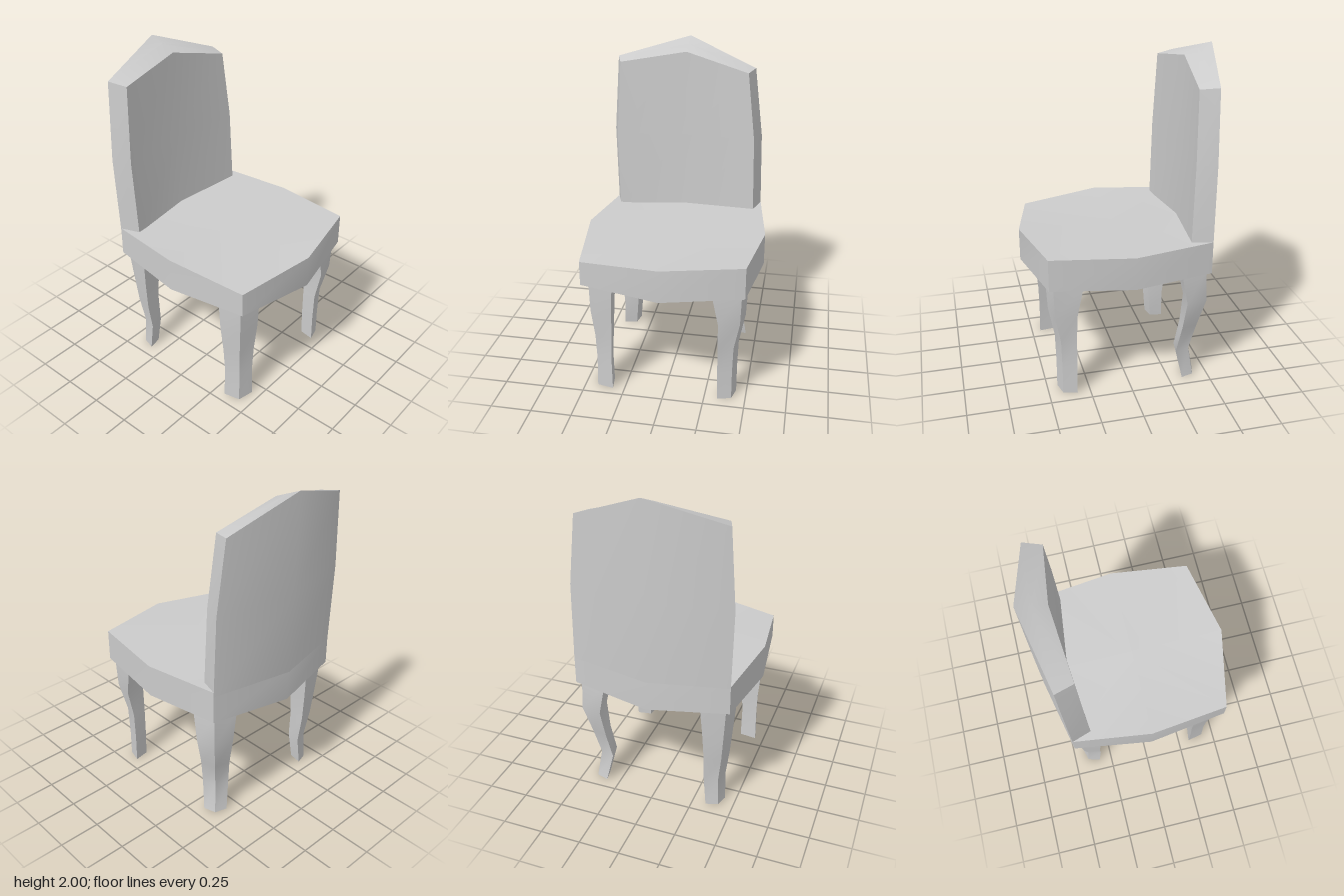
import * as THREE from 'three';
import { toCreasedNormals } from 'three/addons/utils/BufferGeometryUtils.js';

const material = new THREE.MeshStandardMaterial({ color: 0xcccccc });

// Closed solid from rings of [x, y, z], bottom to top, each running from +x to +z
function loft(name, rings) {
  const pos = [];
  const tri = (...p) => p.forEach((v) => pos.push(...v));
  const n = rings[0].length;
  const hub = (r) => r[1].map((v, k) => (v + r[n / 2 + 1][k]) / 2);
  const low = rings[0], high = rings[rings.length - 1];
  for (let i = 0; i < n; i++) {
    const j = (i + 1) % n;
    for (let k = 0; k + 1 < rings.length; k++) {
      const a = rings[k], b = rings[k + 1];
      tri(a[i], b[i], a[j]);
      tri(a[j], b[i], b[j]);
    }
    tri(hub(low), low[i], low[j]);
    tri(hub(high), high[j], high[i]);
  }
  const geometry = new THREE.BufferGeometry();
  geometry.setAttribute('position', new THREE.Float32BufferAttribute(pos, 3));
  const mesh = new THREE.Mesh(toCreasedNormals(geometry, 0.5), material);
  mesh.name = name;
  return mesh;
}

// Leg with a kite section; levels are [y, outer corner, inner side]
function leg(name, sx, sz, levels) {
  const flare = 0.022;
  return loft(name, levels.map(([y, o, i]) => {
    const ring = [[o + flare, i], [o, o], [i, o + flare], [i + 0.015, i + 0.015]]
      .map(([u, v]) => [u * sx, y, v * sz]);
    return sx * sz < 0 ? ring.reverse() : ring;
  }));
}

export function createModel() {
  const chair = new THREE.Group();
  chair.name = 'chair';

  // Seat: bowed eight-sided slab with a slightly uneven top
  const plan = [[0.59, 0], [0.49, 0.483], [0, 0.55], [-0.478, 0.483],
    [-0.58, 0.01], [-0.478, -0.483], [0, -0.55], [0.49, -0.483]];
  const topY = [0.925, 0.89, 0.935, 0.92, 0.93, 0.94, 0.925, 0.935];
  chair.add(loft('seat', [
    plan.map(([x, z], i) => [x, i % 2 ? 0.74 : 0.725, z]),
    plan.map(([x, z], i) => [x, topY[i], z]),
  ]));

  // Backrest: bent panel, beveled and peaked at the top
  // Section: x of front edge, front middle, back edge, back middle; z of front and back edges
  const section = (y, xf, xfm, xb, xbm, zfp, zbp, zfn, zbn) => [
    [xf, y[0], zfn], [xfm, y[1], 0.015], [xf, y[2], zfp],
    [xb, y[3], zbp], [xbm, y[4], 0.015], [xb, y[5], zbn]];
  const level = (y) => Array(6).fill(y);
  chair.add(loft('backrest', [
    section(level(0.91), -0.358, -0.41, -0.478, -0.582, 0.443, 0.483, -0.443, -0.483),
    section(level(1.4), -0.373, -0.418, -0.487, -0.59, 0.455, 0.495, -0.43, -0.47),
    section([1.82, 1.93, 1.86, 1.875, 2, 1.83],
      -0.39, -0.43, -0.5, -0.597, 0.428, 0.465, -0.38, -0.415),
  ]));

  // Legs: each with its own curve
  chair.add(
    leg('frontLeftLeg', 1, 1, [[0, 0.423, 0.322], [0.2, 0.42, 0.325],
      [0.36, 0.425, 0.318], [0.55, 0.443, 0.31], [0.75, 0.447, 0.3]]),
    leg('frontRightLeg', -1, 1, [[0, 0.41, 0.335], [0.18, 0.402, 0.318],
      [0.36, 0.425, 0.322], [0.55, 0.44, 0.315], [0.75, 0.455, 0.302]]),
    leg('backLeftLeg', 1, -1, [[0, 0.415, 0.33], [0.18, 0.415, 0.328],
      [0.36, 0.42, 0.328], [0.55, 0.456, 0.33], [0.75, 0.463, 0.29]]),
    leg('backRightLeg', -1, -1, [[0, 0.41, 0.335], [0.18, 0.385, 0.298],
      [0.36, 0.42, 0.323], [0.55, 0.462, 0.335], [0.75, 0.455, 0.298]]),
  );
  return chair;
}
